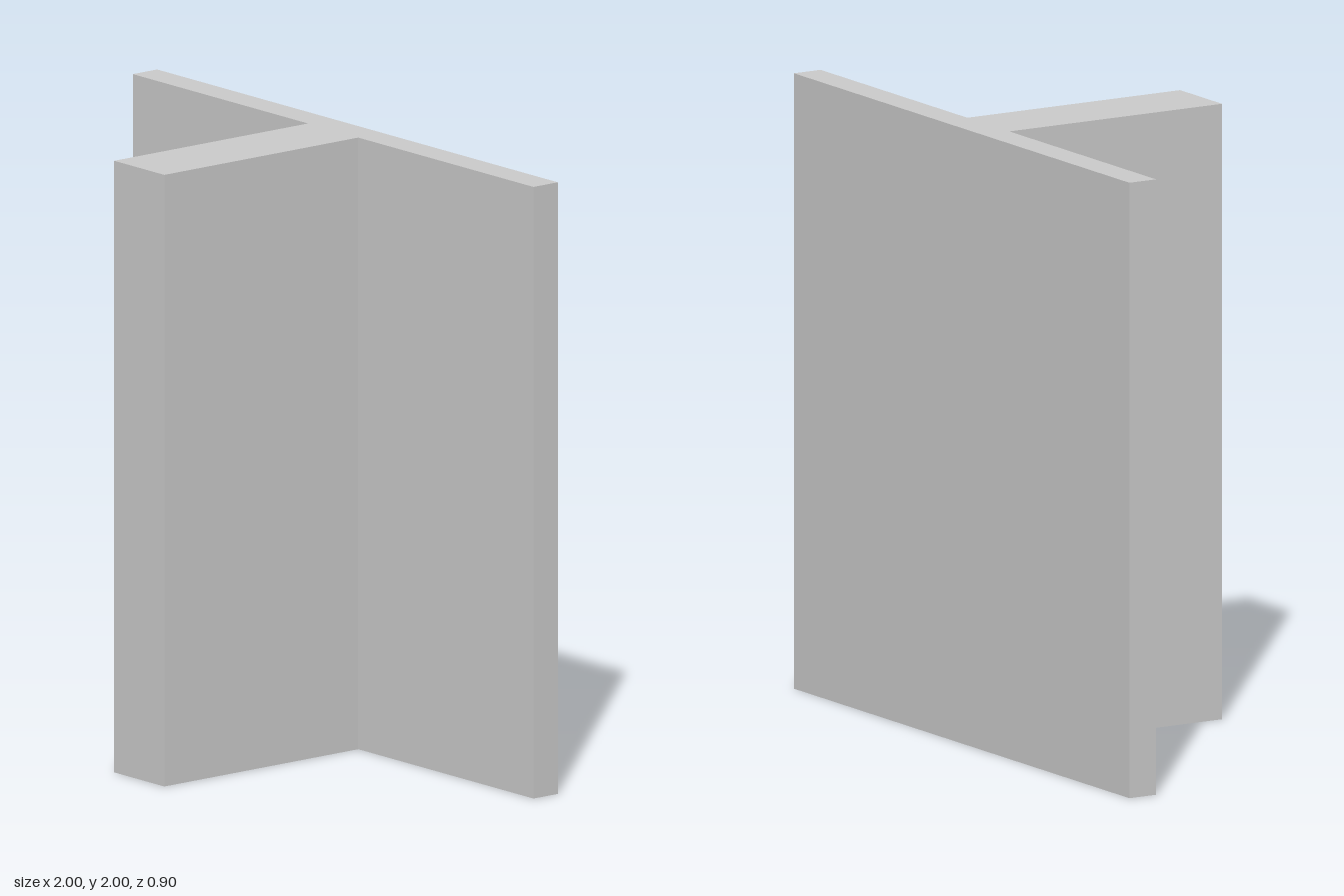
import * as THREE from 'three';

export function createModel() {
  const model = new THREE.Group();
  const height = 2, halfFlange = 1, halfStem = 0.125;
  const back = 0.45, inner = 0.35, front = -0.45; // shape y is -z

  // T-shaped plan outline, counter-clockwise
  const outline = new THREE.Shape([
    [halfFlange, inner], [halfFlange, back], [-halfFlange, back], [-halfFlange, inner],
    [-halfStem, inner], [-halfStem, front], [halfStem, front], [halfStem, inner],
  ].map(([x, y]) => new THREE.Vector2(x, y)));

  // Extrude the outline and stand it upright
  const geometry = new THREE.ExtrudeGeometry(outline, { depth: height, bevelEnabled: false });
  geometry.rotateX(-Math.PI / 2);

  const beam = new THREE.Mesh(geometry, new THREE.MeshStandardMaterial({ color: 0xcccccc }));
  beam.name = 'tBeam';
  model.add(beam);
  return model;
}
